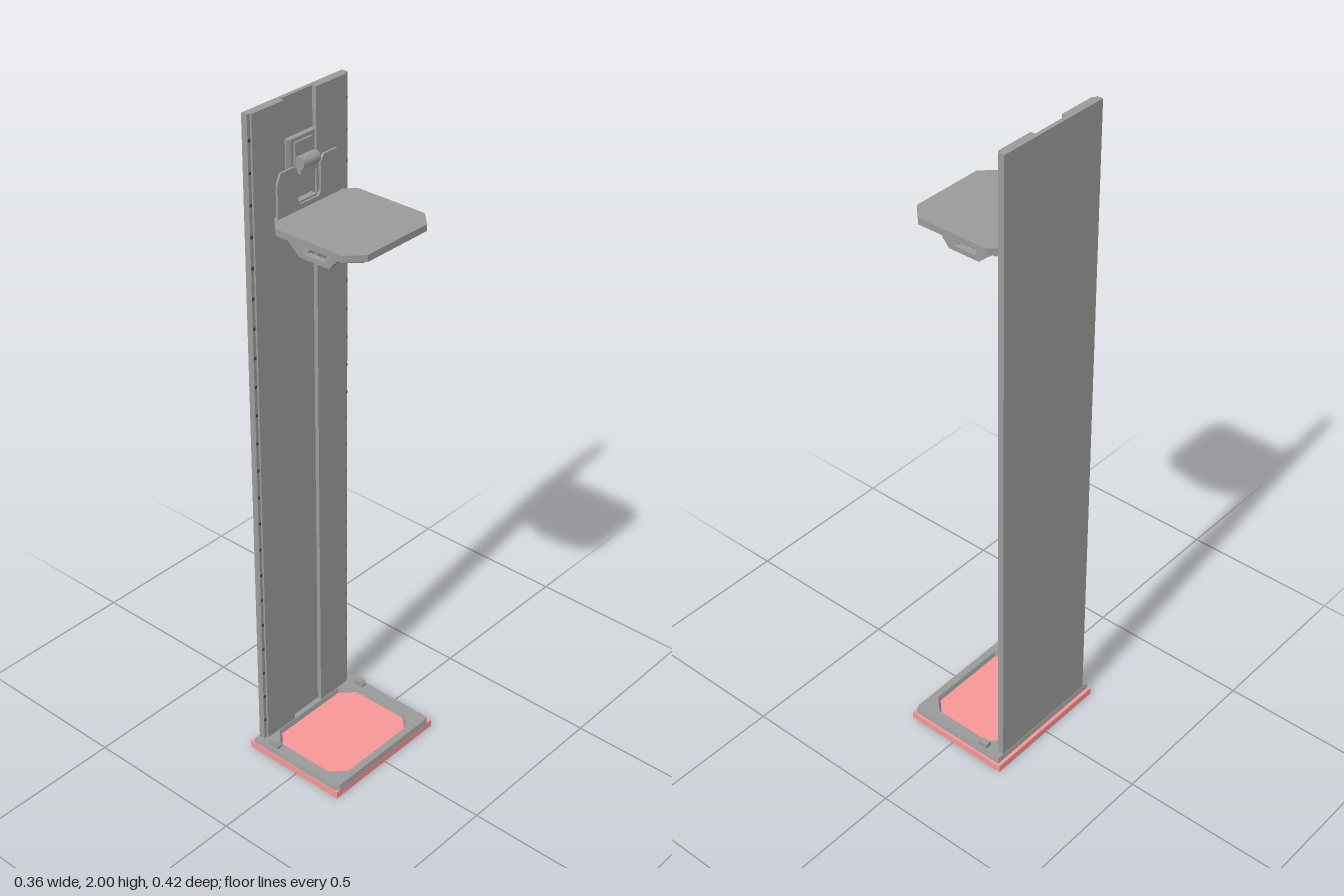
import * as THREE from 'three';

const grey = new THREE.MeshStandardMaterial({ color: 0x9a9a9a, flatShading: true });
const smoothGrey = new THREE.MeshStandardMaterial({ color: 0x9a9a9a });
const dark = new THREE.MeshStandardMaterial({ color: 0x444444, flatShading: true });
const pink = new THREE.MeshStandardMaterial({ color: 0xf79696, flatShading: true });

// Rectangle in x and z with chamfers: a at the -x corners, b at the +x corners
function octagon(x0, x1, z0, z1, a, b) {
  const pts = [];
  const add = (x, z) => pts.push(new THREE.Vector2(x, -z));
  add(x0 + a, z1); add(x1 - b, z1);
  if (b) add(x1, z1 - b);
  add(x1, z0 + b);
  if (b) add(x1 - b, z0);
  add(x0 + a, z0);
  if (a) { add(x0, z0 + a); add(x0, z1 - a); }
  return pts;
}

// Upright prism from an x/z outline
function slab(outline, y0, y1, hole) {
  const shape = new THREE.Shape(outline);
  if (hole) shape.holes.push(new THREE.Path(hole));
  const g = new THREE.ExtrudeGeometry(shape, { depth: y1 - y0, bevelEnabled: false });
  return g.rotateX(-Math.PI / 2).translate(0, y0, 0);
}

// Scales the vertices at height y about a centre, by a factor that may depend on x and z
function taper(g, y, cx, cz, factor) {
  const p = g.attributes.position;
  for (let i = 0; i < p.count; i++) {
    if (Math.abs(p.getY(i) - y) > 1e-4) continue;
    const s = factor(p.getX(i), p.getZ(i));
    p.setX(i, cx + (p.getX(i) - cx) * s);
    p.setZ(i, cz + (p.getZ(i) - cz) * s);
  }
  g.computeVertexNormals();
  return g;
}

function box(x0, x1, y0, y1, z0, z1) {
  return new THREE.BoxGeometry(x1 - x0, y1 - y0, z1 - z0)
    .translate((x0 + x1) / 2, (y0 + y1) / 2, (z0 + z1) / 2);
}

export function createModel() {
  const model = new THREE.Group();
  const part = (name, geometry, material, parent) => {
    const m = new THREE.Mesh(geometry, material);
    m.name = name;
    parent.add(m);
  };
  const group = (name) => {
    const g = new THREE.Group();
    g.name = name;
    model.add(g);
    return g;
  };
  const v = (x, y) => new THREE.Vector2(x, y);

  // Base: pink pad and a grey frame with sloped sides around an eight-sided opening
  const base = group('base');
  part('basePad', box(-0.18, 0.158, 0, 0.022, -0.213, 0.21), pink, base);
  const rim = slab(octagon(-0.17, 0.158, -0.206, 0.208, 0, 0.012), 0.021, 0.037,
    octagon(-0.133, 0.128, -0.163, 0.166, 0.04, 0.04));
  part('baseFrame', taper(rim, 0.037, -0.004, 0.001, (x, z) =>
    (Math.abs(z) > 0.18 || x > 0.14 || x < -0.15 ? 0.978 : 1.034)), grey, base);

  // Two wedge clips on the frame
  for (const z of [-0.185, 0.189]) {
    const wedge = new THREE.Shape([v(-0.115, 0.036), v(-0.083, 0.036), v(-0.083, 0.044), v(-0.092, 0.054), v(-0.115, 0.052)]);
    part('clip', new THREE.ExtrudeGeometry(wedge, { depth: 0.02, bevelEnabled: false }).translate(0, 0, z - 0.01), grey, base);
  }

  // Column: a long rail with a sunken centre channel
  const column = group('column');
  const section = [[-0.165, 0.188], [-0.146, 0.188], [-0.146, 0.178], [-0.14, 0.178], [-0.14, 0.063],
    [-0.153, 0.063], [-0.153, -0.053], [-0.14, -0.053], [-0.14, -0.168], [-0.146, -0.168],
    [-0.146, -0.178], [-0.165, -0.178]].map(([x, z]) => v(x, -z));
  part('rail', slab(section, 0.03, 2), grey, column);
  for (let i = 0; i < 22; i++) {
    const y = 0.1 + i * 0.087;
    for (const z of [-0.173, 0.183]) {
      part('railSlot', box(-0.147, -0.145, y, y + 0.009, z - 0.004, z + 0.004), dark, column);
    }
  }

  // Carriage riding in the channel, with hinge barrel
  const carriage = group('carriage');
  part('slider', slab([[-0.153, 0.056], [-0.143, 0.056], [-0.137, 0.045], [-0.137, -0.04], [-0.143, -0.05],
    [-0.153, -0.05]].map(([x, z]) => v(x, -z)), 1.69, 1.89), grey, carriage);
  part('sliderPad', box(-0.138, -0.131, 1.797, 1.88, -0.03, 0.035), grey, carriage);
  part('lowerMount', box(-0.138, -0.119, 1.695, 1.725, -0.03, 0.033), grey, carriage);
  part('hingeBarrel', new THREE.CylinderGeometry(0.017, 0.017, 0.063, 24)
    .rotateX(Math.PI / 2).translate(-0.12, 1.828, 0.002), smoothGrey, carriage);
  part('hingeBlock', box(-0.138, -0.116, 1.797, 1.842, -0.028, 0.032), grey, carriage);

  // Back plate: two shoulders with a notch for the hinge
  const half = [[0.117, 1.69], [0.117, 1.80], [0.105, 1.828], [0.055, 1.828], [0.042, 1.81], [0.042, 1.73], [0.034, 1.72]];
  const outline = [...half, ...half.map(([z, y]) => [-z, y]).reverse()];
  const plate = new THREE.Shape(outline.map(([z, y]) => v(z, y)));
  part('backPlate', new THREE.ExtrudeGeometry(plate, { depth: 0.007, bevelEnabled: false })
    .rotateY(Math.PI / 2).translate(-0.12, 0, 0.003), grey, carriage);

  // Tray: flat top over a hollow, tapered skirt
  const tray = group('tray');
  const trayOutline = octagon(-0.13, 0.179, -0.153, 0.16, 0.044, 0.044);
  part('trayTop', slab(trayOutline, 1.687, 1.706), grey, tray);
  const skirt = slab(octagon(-0.122, 0.17, -0.146, 0.153, 0.042, 0.04), 1.67, 1.688,
    octagon(-0.106, 0.154, -0.13, 0.137, 0.038, 0.036));
  part('traySkirt', taper(skirt, 1.67, 0.024, 0.0035, () => 0.88), grey, tray);
  for (const z of [-0.07, 0.0035, 0.077]) {
    part('lengthRib', box(-0.09, 0.138, 1.674, 1.69, z - 0.004, z + 0.004), grey, tray);
  }
  for (const x of [-0.05, 0.095]) {
    part('crossRib', box(x - 0.004, x + 0.004, 1.674, 1.69, -0.115, 0.12), grey, tray);
  }

  // Carrying frame under the tray: two trapezoid straps and cross bars
  const frame = group('underFrame');
  const strap = new THREE.Shape([v(-0.085, 1.674), v(-0.035, 1.632), v(0.063, 1.632), v(0.1, 1.674)]);
  strap.holes.push(new THREE.Path([v(-0.042, 1.668), v(-0.02, 1.645), v(0.047, 1.645), v(0.067, 1.668)]));
  for (const z of [-0.112, 0.119]) {
    part('strap', new THREE.ExtrudeGeometry(strap, { depth: 0.018, bevelEnabled: false }).translate(0, 0, z - 0.009), grey, frame);
  }
  for (const x of [-0.025, 0.052]) {
    part('crossBar', box(x - 0.009, x + 0.009, 1.636, 1.652, -0.11, 0.117), grey, frame);
  }
  part('upperBar', box(-0.08, -0.062, 1.66, 1.676, -0.11, 0.117), grey, frame);

  return model;
}
